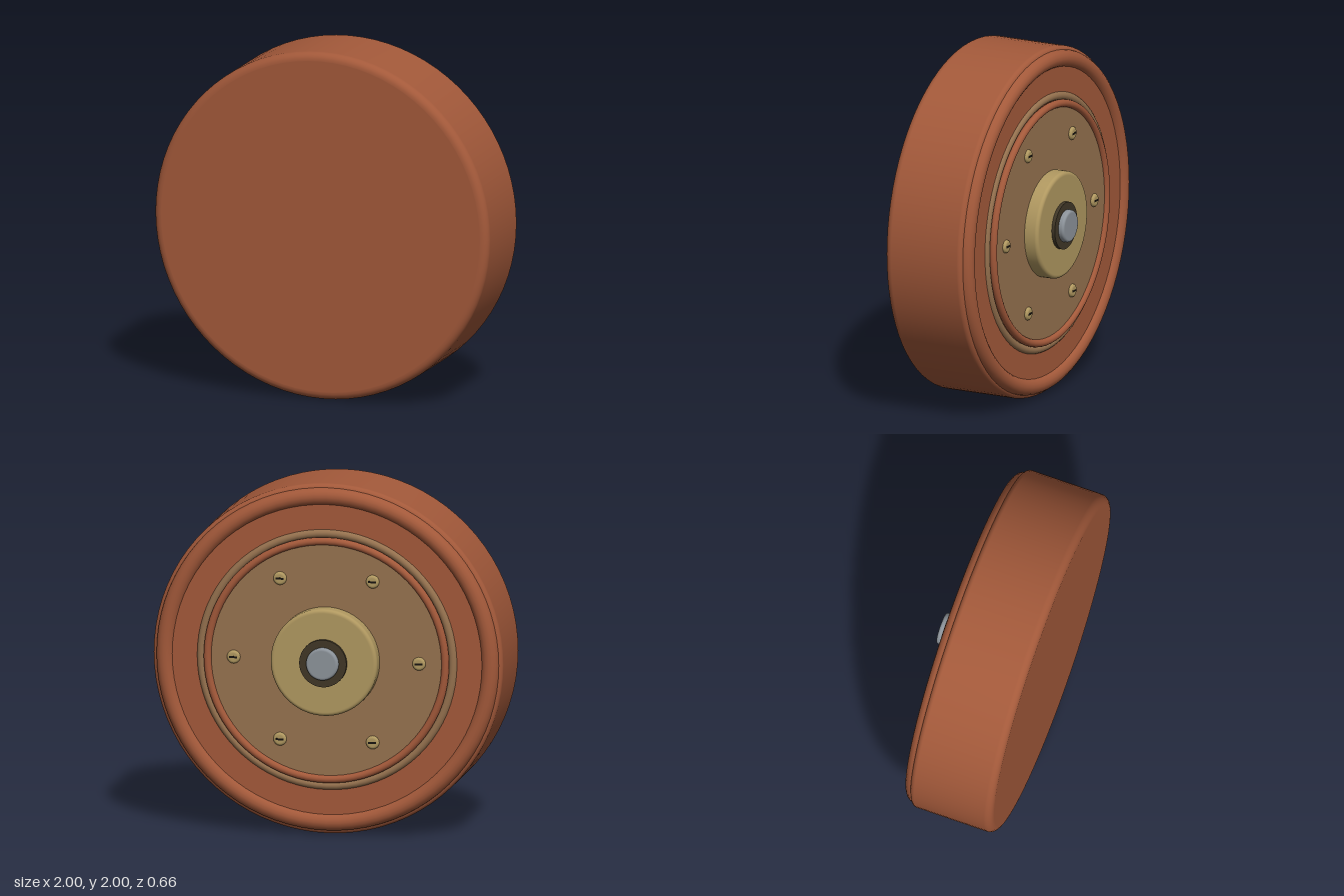
import * as THREE from 'three';

const material = (name, color) => {
  const m = new THREE.MeshStandardMaterial({ color });
  m.name = name;
  return m;
};

export function createModel() {
  const clay = material('terracotta', 0xa3593a);
  const bronze = material('dull bronze', 0x96724f);
  const brass = material('brass', 0xb09860);
  const steel = material('steel', 0x8c939a);
  const dark = material('dark washer', 0x403727);
  const black = material('slot black', 0x17130f);

  // The wheel is turned around its local y axis, which points to the back (-z).
  const wheel = new THREE.Group();
  wheel.name = 'wheel';
  wheel.rotation.x = -Math.PI / 2;
  wheel.position.y = 1;

  const add = (name, geometry, mat, parent = wheel) => {
    const mesh = new THREE.Mesh(geometry, mat);
    mesh.name = name;
    parent.add(mesh);
    return mesh;
  };

  // Solid disc from height y0 to y1, with edges rounded by r0 and r1.
  const roundedDisc = (radius, y0, y1, r0, r1, segments = 72) => {
    const pts = [new THREE.Vector2(0, y0)];
    // A point just inside each arc keeps the flat faces flat.
    if (radius - r0 > 0.01) pts.push(new THREE.Vector2(radius - r0 - 0.003, y0));
    const steps = 6;
    for (let i = 0; i <= steps; i++) {
      const a = (i / steps) * Math.PI / 2;
      pts.push(new THREE.Vector2(radius - r0 + r0 * Math.sin(a), y0 + r0 - r0 * Math.cos(a)));
    }
    for (let i = 0; i <= steps; i++) {
      const a = (i / steps) * Math.PI / 2;
      pts.push(new THREE.Vector2(radius - r1 + r1 * Math.cos(a), y1 - r1 + r1 * Math.sin(a)));
    }
    pts.push(new THREE.Vector2(radius - r1 - 0.003, y1), new THREE.Vector2(0, y1));
    return new THREE.LatheGeometry(pts, segments);
  };

  const ring = (name, radius, tube, y, mat) => {
    const mesh = add(name, new THREE.TorusGeometry(radius, tube, 16, 80), mat);
    mesh.rotation.x = Math.PI / 2;
    mesh.position.y = y;
  };

  // Body with its raised back rim
  add('body', roundedDisc(1, -0.33, 0.16, 0.045, 0.03, 80), clay);
  add('backFace', new THREE.CylinderGeometry(0.92, 0.92, 0.04, 80).translate(0, 0.155, 0), clay);
  ring('rimBead', 0.93, 0.05, 0.153, clay);

  // Cover plate with its border rings
  ring('plateBorder', 0.72, 0.025, 0.166, bronze);
  ring('plateBead', 0.68, 0.022, 0.194, clay);
  add('coverPlate', new THREE.CylinderGeometry(0.68, 0.68, 0.05, 80).translate(0, 0.17, 0), bronze);

  // Hub, washer and axle pin
  add('hub', roundedDisc(0.305, 0.18, 0.278, 0.01, 0.02), brass);
  add('washer', new THREE.CylinderGeometry(0.135, 0.135, 0.03, 48).translate(0, 0.283, 0), dark);
  add('axlePin', roundedDisc(0.092, 0.28, 0.33, 0.005, 0.014, 48), steel);

  // Six slotted screws
  for (let i = 0; i < 6; i++) {
    const a = (i * Math.PI) / 3;
    const screw = new THREE.Group();
    screw.name = 'screw';
    screw.position.set(0.53 * Math.cos(a), 0.19, 0.53 * Math.sin(a));
    add('screwHead', roundedDisc(0.038, 0, 0.021, 0.003, 0.015, 24), brass, screw);
    add('screwSlot', new THREE.BoxGeometry(0.046, 0.004, 0.011).translate(0, 0.0205, 0), black, screw);
    wheel.add(screw);
  }

  const model = new THREE.Group();
  model.name = 'model';
  model.add(wheel);
  return model;
}
